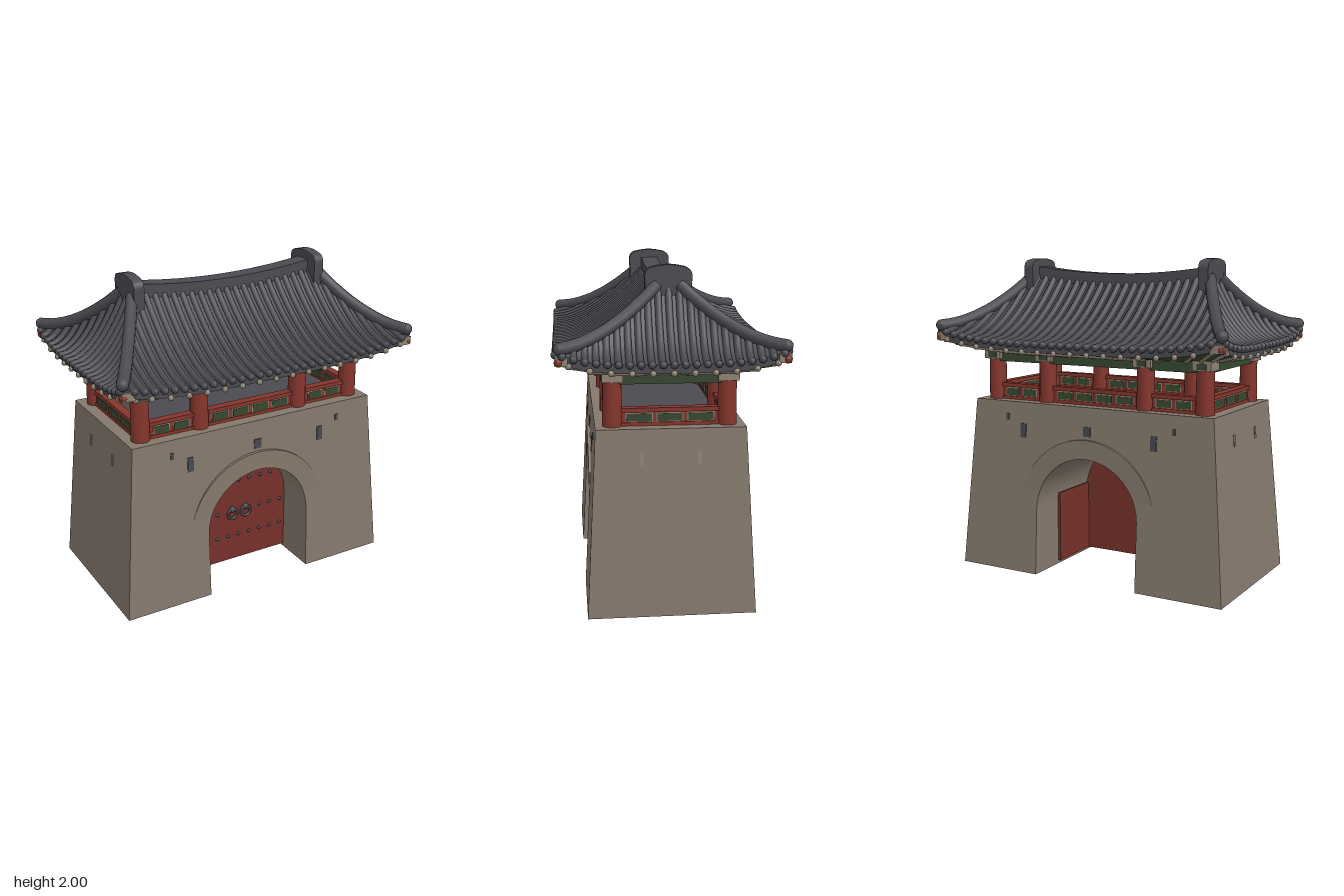
import * as THREE from 'three';

const mat = (name, color, side = THREE.FrontSide) => {
  const m = new THREE.MeshStandardMaterial({ color, side });
  m.name = name;
  return m;
};

export function createModel() {
  const stone = mat('stone', 0x84786b);
  const red = mat('red paint', 0x84352c);
  const doorRed = mat('door red', 0x75302a);
  const slate = mat('roof slate', 0x4b4a50, THREE.DoubleSide);
  const green = mat('green paint', 0x36472f, THREE.DoubleSide);
  const tan = mat('tan timber', 0x8f8273);
  const dark = mat('dark metal', 0x46474d);

  const model = new THREE.Group();
  model.name = 'gatehouse';
  const add = (name, geo, m, x = 0, y = 0, z = 0, parent = model) => {
    const mesh = new THREE.Mesh(geo, m);
    mesh.name = name;
    mesh.position.set(x, y, z);
    parent.add(mesh);
    return mesh;
  };
  const group = (name, parent = model) => {
    const g = new THREE.Group();
    g.name = name;
    parent.add(g);
    return g;
  };
  const box = (w, h, d) => new THREE.BoxGeometry(w, h, d);
  const extrude = (shape, depth) => new THREE.ExtrudeGeometry(shape, { depth, bevelEnabled: false, curveSegments: 32 })
    .translate(0, 0, -depth / 2);

  // Battered stone base with an arched passage
  const R = 0.36, SPRING = 0.42;
  const wall = new THREE.Shape();
  wall.moveTo(-0.93, 0);
  wall.lineTo(-R, 0);
  wall.lineTo(-R, SPRING);
  wall.absarc(0, SPRING, R, Math.PI, 0, true);
  wall.lineTo(R, 0);
  wall.lineTo(0.93, 0);
  wall.lineTo(0.84, 1.1);
  wall.lineTo(-0.84, 1.1);
  const wallZ = y => 0.49 - 0.06 * y / 1.1;
  const wallGeo = extrude(wall, 2);
  const wp = wallGeo.attributes.position;
  for (let i = 0; i < wp.count; i++) wp.setZ(i, wp.getZ(i) * wallZ(wp.getY(i)));
  wallGeo.computeVertexNormals();
  add('stoneBase', wallGeo, stone);

  // Arch surround that fades into the sloping wall
  const ring = new THREE.Shape();
  ring.absarc(0, SPRING, 0.48, 0, Math.PI, false);
  ring.absarc(0, SPRING, R, Math.PI, 0, true);
  add('archSurround', extrude(ring, 0.92), stone);

  // Loopholes on front and back, small slits on the ends
  for (const side of [1, -1]) {
    const g = group('loopholes');
    g.rotation.y = side > 0 ? 0 : Math.PI;
    for (const [x, y, w, h] of [[-0.47, 0.92, 0.04, 0.09], [0.46, 0.92, 0.04, 0.09], [0, 0.95, 0.05, 0.06],
      [-0.59, 1.0, 0.02, 0.04], [0.59, 1.0, 0.02, 0.04]]) {
      add('loophole', box(w, h, 0.009), dark, x, y, wallZ(y) + 0.001, g).rotation.x = -0.054;
    }
    for (const z of [0.17, -0.16]) {
      add('endSlit', box(0.009, 0.07, 0.022), tan, side * (0.93 - 0.09 * 0.93 / 1.1), 0.93, z).rotation.z = side * 0.08;
    }
  }

  // Arched double door with lined reveals, studs and ring handles
  const door = group('door');
  const doorShape = new THREE.Shape();
  doorShape.moveTo(-R, 0.02);
  doorShape.lineTo(R, 0.02);
  doorShape.lineTo(R, SPRING);
  doorShape.absarc(0, SPRING, R, 0, Math.PI, false);
  add('doorLeaves', extrude(doorShape, 0.07), doorRed, 0, 0, 0.175, door);
  for (const s of [1, -1]) {
    add('doorLining', box(0.02, 0.46, 0.36), doorRed, s * 0.352, 0.25, -0.04, door);
    add('handleRing', new THREE.TorusGeometry(0.035, 0.009, 8, 20), dark, s * 0.05, 0.365, 0.222, door);
    add('handleBoss', new THREE.SphereGeometry(0.022, 12, 8), dark, s * 0.05, 0.395, 0.215, door);
  }
  const stud = new THREE.SphereGeometry(0.012, 8, 6);
  for (const [y, n] of [[0.2, 4], [0.38, 4], [0.6, 3]]) {
    for (let i = -n; i <= n; i++) {
      if (y === 0.38 && Math.abs(i) < 2) continue;
      add('doorStud', stud, dark, i * 0.08, y, 0.212, door);
    }
  }

  // Open pavilion: columns, brackets, floor, beams
  const pavilion = group('pavilion');
  add('floor', box(1.5, 0.012, 0.68), slate, 0, 1.104, 0, pavilion);
  add('ceiling', box(1.46, 0.04, 0.64), green, 0, 1.405, 0, pavilion);
  for (const z of [0.33, -0.33]) {
    for (const x of [-0.74, -0.35, 0.35, 0.74]) {
      add('column', new THREE.CylinderGeometry(0.053, 0.057, 0.34, 20), red, x, 1.26, z, pavilion);
      add('bracket', box(0.12, 0.06, 0.12), tan, x, 1.39, z, pavilion);
      add('bracketPanel', box(0.06, 0.035, 0.008), green, x, 1.385, z + Math.sign(z) * 0.061, pavilion);
    }
    add('longBeam', box(1.46, 0.08, 0.07), green, 0, 1.385, z, pavilion);
  }
  for (const x of [0.74, -0.74]) add('endBeam', box(0.07, 0.08, 0.64), green, x, 1.385, 0, pavilion);

  // Railings with framed green panels on both faces
  const railing = (len, n, x, z, turn) => {
    const g = group('railing', pavilion);
    g.position.set(x, 1.1, z);
    g.rotation.y = turn;
    add('railBody', box(len, 0.085, 0.035), red, 0, 0.043, 0, g);
    add('handRail', box(len, 0.025, 0.055), red, 0, 0.092, 0, g);
    add('bottomRail', box(len, 0.02, 0.05), red, 0, 0.01, 0, g);
    const step = (len - 0.03) / n;
    for (let i = 0; i < n; i++) {
      const px = (i - (n - 1) / 2) * step;
      for (const s of [1, -1]) {
        add('panelFrame', box(step - 0.022, 0.054, 0.004), tan, px, 0.049, s * 0.018, g);
        add('panel', box(step - 0.034, 0.044, 0.006), green, px, 0.048, s * 0.02, g);
      }
    }
  };
  for (const s of [1, -1]) {
    railing(0.6, 4, 0, s * 0.33, 0);
    railing(0.29, 2, 0.545, s * 0.33, 0);
    railing(0.29, 2, -0.545, s * 0.33, 0);
    railing(0.56, 3, s * 0.74, 0, Math.PI / 2);
  }

  // Roof slope rule: a runs along the eave, t runs from ridge (0) to eave (1)
  const half = (long, t) => long ? 0.62 + 0.35 * t : 0.03 + 0.6 * t;
  const slope = (long, a, t) => {
    const s = THREE.MathUtils.clamp(a / half(long, t), -1, 1);
    const eave = 1.49 + 0.07 * s ** 4;
    const ridge = long ? 1.85 + 0.05 * s * s : 1.9;
    const y = eave + (ridge - eave) * Math.max(0, 1 - t) ** 1.8;
    const out = half(!long, t);
    return long ? new THREE.Vector3(a, y, out) : new THREE.Vector3(out, y, -a);
  };
  const sheet = (f, nu, nv) => {
    const geo = new THREE.PlaneGeometry(2, 1, nu, nv);
    const p = geo.attributes.position;
    for (let i = 0; i < p.count; i++) {
      const v = f(p.getX(i), 0.5 - p.getY(i));
      p.setXYZ(i, v.x, v.y, v.z);
    }
    geo.computeVertexNormals();
    return geo;
  };
  const low = v => v.setY(v.y - 0.05);
  const tube = (pts, r, seg, sides) => new THREE.TubeGeometry(new THREE.CatmullRomCurve3(pts), seg, r, sides);
  const tileEnd = new THREE.SphereGeometry(0.022, 8, 6);

  const roof = group('roof');
  for (const turn of [0, Math.PI]) {
    const sideGroup = group('roofHalf', roof);
    sideGroup.rotation.y = turn;
    for (const long of [true, false]) {
      const edge = u => low(slope(long, u * half(long, 1), 1));
      const inner = u => long ? new THREE.Vector3(u * 0.74, 1.4, 0.33) : new THREE.Vector3(0.74, 1.4, -u * 0.33);
      add('roofSlope', sheet((u, t) => slope(long, u * half(long, t), t), 28, 14), slate, 0, 0, 0, sideGroup);
      add('eaveFascia', sheet((u, v) => slope(long, u * half(long, 1), 1).setY(edge(u).y + 0.05 * (1 - v)), 28, 1),
        slate, 0, 0, 0, sideGroup);
      add('soffit', sheet((u, v) => edge(u).lerp(inner(u), v), 28, 2), green, 0, 0, 0, sideGroup);

      // Round tile rows, trimmed where they meet the hips
      const n = long ? 15 : 10;
      for (let i = -n; i <= n; i++) {
        const a = i * 0.0605;
        const t0 = Math.max(0.02, long ? (Math.abs(a) - 0.62) / 0.35 : (Math.abs(a) - 0.03) / 0.6);
        const pts = [];
        for (let k = 0; k <= 8; k++) pts.push(slope(long, a, t0 + (1.025 - t0) * k / 8));
        add('tileRow', tube(pts, 0.021, 12, 7), slate, 0, 0, 0, sideGroup);
        const end = pts[8];
        add('tileEnd', tileEnd, slate, end.x, end.y, end.z, sideGroup);
      }

      // Rafters below the eave
      const m = long ? 8 : 5;
      for (let i = -m; i <= m; i++) {
        const u = i / (m + 0.5);
        add('rafter', tube([edge(u), inner(u)], 0.014, 1, 6), tan, 0, 0, 0, sideGroup);
        const e = edge(u);
        add('rafterEnd', new THREE.SphereGeometry(0.018, 8, 6), tan, e.x, e.y, e.z, sideGroup);
      }
    }

    // Hip ridges with painted corner timbers
    for (const s of [1, -1]) {
      const pts = [];
      for (let k = 0; k <= 8; k++) {
        const t = 0.06 + 0.92 * k / 8;
        const v = slope(true, s * half(true, t), t);
        pts.push(v.setY(v.y + 0.022));
      }
      add('hipRidge', tube(pts, 0.036, 16, 10), slate, 0, 0, 0, sideGroup);
      add('hipEnd', new THREE.SphereGeometry(0.036, 12, 8), slate, pts[8].x, pts[8].y, pts[8].z, sideGroup);
      add('cornerTimber', box(0.07, 0.05, 0.07), tan, s * 0.945, 1.515, 0.61, sideGroup);
      add('cornerTip', new THREE.SphereGeometry(0.026, 10, 8), red, s * 0.965, 1.51, 0.625, sideGroup);
    }
  }

  // Sagging main ridge and its raised end blocks
  const ridge = new THREE.Shape();
  ridge.moveTo(-0.62, 1.8);
  ridge.lineTo(0.62, 1.8);
  ridge.lineTo(0.62, 1.95);
  ridge.quadraticCurveTo(0, 1.86, -0.62, 1.95);
  add('mainRidge', extrude(ridge, 0.11), slate, 0, 0, 0, roof);
  const cap = new THREE.Shape();
  cap.moveTo(-0.13, 1.78);
  cap.lineTo(0.13, 1.78);
  cap.lineTo(0.135, 1.94);
  cap.quadraticCurveTo(0.13, 1.985, 0.08, 1.99);
  cap.quadraticCurveTo(0, 2.01, -0.08, 1.99);
  cap.quadraticCurveTo(-0.13, 1.985, -0.135, 1.94);
  for (const s of [1, -1]) {
    add('ridgeEnd', extrude(cap, 0.065).rotateY(Math.PI / 2), slate, s * 0.625, 0, 0, roof);
  }
  return model;
}
